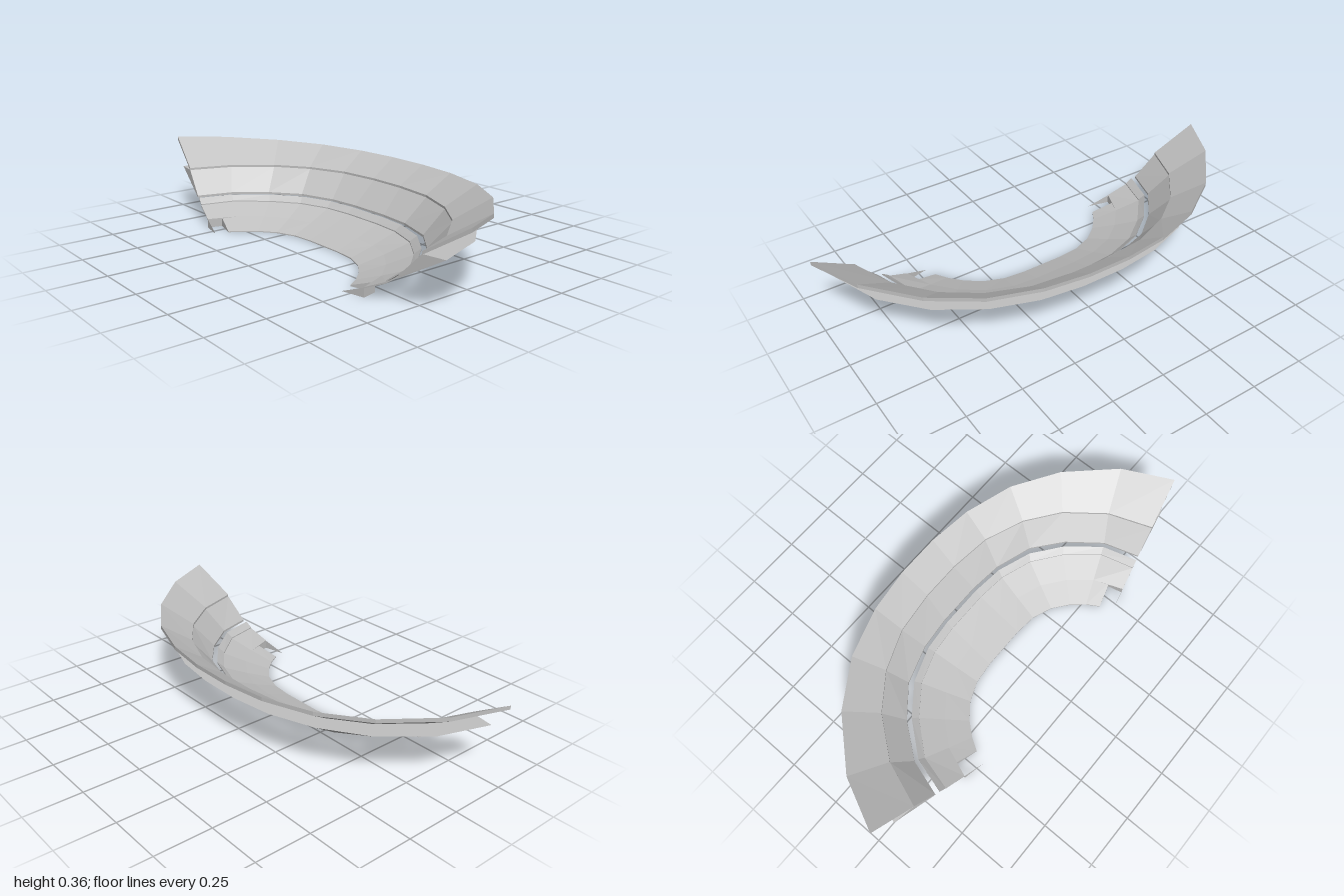
import * as THREE from 'three';

// Plan outlines [x, z] of half a ring, from the middle of the back to the open end
const RIM = [[0.1, -0.385], [0.3, -0.36], [0.52, -0.29], [0.72, -0.16], [0.9, 0.04], [1.0, 0.26]];
const UPPER_INNER = [[0.09, -0.257], [0.28, -0.235], [0.46, -0.165], [0.61, -0.055], [0.74, 0.11], [0.81, 0.303]];
const MIDDLE_OUTER = [[0.1, -0.345], [0.29, -0.32], [0.49, -0.25], [0.68, -0.125], [0.83, 0.055], [0.91, 0.285]];
const MIDDLE_INNER = [[0.1, -0.155], [0.25, -0.14], [0.42, -0.085], [0.55, 0.02], [0.662, 0.163], [0.71, 0.323]];
const STRIP_OUTER = [[0.1, -0.14], [0.245, -0.125], [0.4, -0.07], [0.53, 0.03], [0.645, 0.17], [0.69, 0.328]];
const LOWER_OUTER = [[0.1, -0.11], [0.235, -0.097], [0.38, -0.047], [0.505, 0.047], [0.62, 0.182], [0.66, 0.335]];
const LOWER_INNER = [[0.1, 0.11], [0.2, 0.12], [0.29, 0.155], [0.36, 0.21], [0.41, 0.268], [0.46, 0.38]];

// Ring halfway down the lower bank, level with the top of the notches
const LOWER_MID = LOWER_OUTER.map(([x, z], i) => [
  x + (LOWER_INNER[i][0] - x) * 0.5, z + (LOWER_INNER[i][1] - z) * 0.5]);
LOWER_MID[5] = [0.565, 0.357];

// Mirrors a half outline into a full ring at a height (number or function of z)
function ring(half, y) {
  const at = (s) => ([x, z]) => new THREE.Vector3(s * x, typeof y === 'function' ? y(z) : y, z);
  return [...half.map(at(-1)).reverse(), ...half.map(at(1))];
}

function fromTriangles(points) {
  const geometry = new THREE.BufferGeometry().setFromPoints(points);
  geometry.computeVertexNormals();
  return geometry;
}

// Solid swept through rings: inner top, outer top, outer bottom, inner bottom
function sweep(rings) {
  const out = [], n = rings.length, last = rings[0].length - 1;
  for (let j = 0; j < n; j++) {
    const a = rings[j], b = rings[(j + 1) % n];
    for (let i = 0; i < last; i++) out.push(a[i], a[i + 1], b[i + 1], a[i], b[i + 1], b[i]);
  }
  for (let j = 1; j < n - 1; j++) {
    out.push(rings[0][0], rings[j][0], rings[j + 1][0]);
    out.push(rings[0][last], rings[j + 1][last], rings[j][last]);
  }
  return fromTriangles(out);
}

export function createModel() {
  const group = new THREE.Group();
  const grey = new THREE.MeshStandardMaterial({ color: 0xc0c0c0, side: THREE.DoubleSide });
  grey.name = 'grey';
  const add = (name, geometry) => {
    const mesh = new THREE.Mesh(geometry, grey);
    mesh.name = name;
    group.add(mesh);
  };

  // Upper bank, its rim rising towards the open ends
  const rimY = (z) => 0.316 + (z + 0.385) * 0.065;
  add('upperBank', sweep([
    ring(UPPER_INNER, 0.235), ring(RIM, rimY),
    ring(RIM, (z) => rimY(z) - 0.017), ring(UPPER_INNER, 0.222)]));

  // Middle bank, a wedge with a level ledge behind the upper bank
  add('middleBank', sweep([
    ring(MIDDLE_INNER, 0.12), ring(UPPER_INNER, 0.225),
    ring(MIDDLE_OUTER, 0.225), ring(MIDDLE_INNER, 0.11)]));

  // Narrow steep strip, set off by an open gap
  add('dividingStrip', sweep([
    ring(LOWER_OUTER, 0.09), ring(STRIP_OUTER, 0.114),
    ring(STRIP_OUTER, 0.108), ring(LOWER_OUTER, 0.084)]));

  // Lower bank in two bands; the inner one stops short at the notches
  add('lowerBankOuter', sweep([
    ring(LOWER_MID, 0.042), ring(LOWER_OUTER, 0.085),
    ring(LOWER_OUTER, 0.078), ring(LOWER_MID, 0.037)]));
  const midCut = [...LOWER_MID.slice(0, 5), [0.55, 0.29]];
  const innerCut = [...LOWER_INNER.slice(0, 5), [0.443, 0.322]];
  add('lowerBankInner', sweep([
    ring(innerCut, 0.005), ring(midCut, 0.042),
    ring(midCut, 0.037), ring(innerCut, 0)]));

  // Walls of the notch at each end
  for (const s of [-1, 1]) {
    const p = (x, y, z) => new THREE.Vector3(s * x, y, z);
    const frontTop = p(0.565, 0.04, 0.357), frontLow = p(0.565, 0, 0.357);
    const backTop = p(0.55, 0.04, 0.29), backLow = p(0.55, 0, 0.29);
    const walls = [
      frontTop, frontLow, backLow, frontTop, backLow, backTop,
      backTop, backLow, p(0.443, 0, 0.322),
      frontTop, frontLow, p(0.46, 0, 0.38)];
    // Keep the faces turned the same way on both sides
    if (s < 0) for (let i = 0; i < walls.length; i += 3) [walls[i], walls[i + 1]] = [walls[i + 1], walls[i]];
    add(s > 0 ? 'leftNotchWalls' : 'rightNotchWalls', fromTriangles(walls));
  }
  return group;
}
